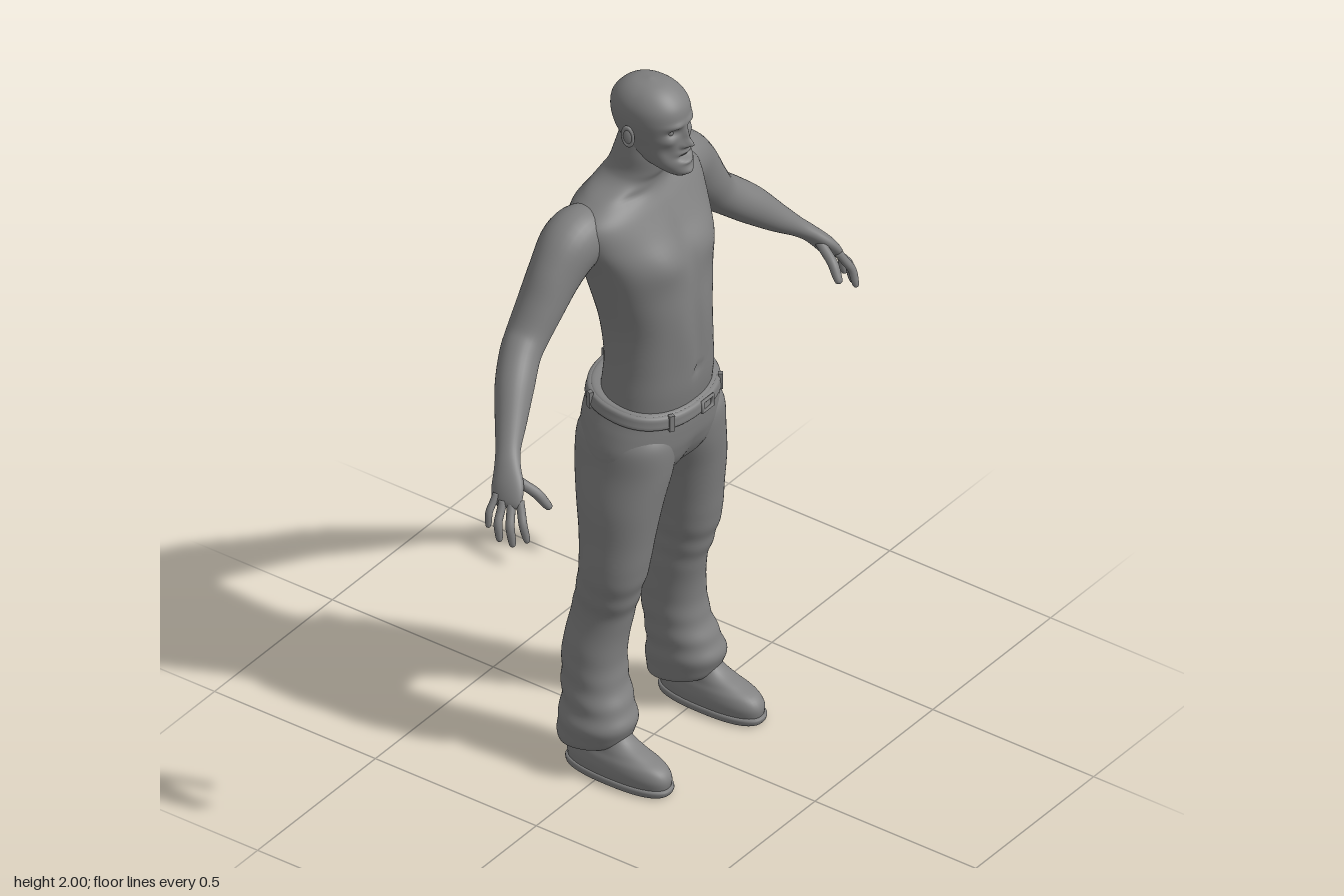
import * as THREE from 'three';

const grey = new THREE.MeshStandardMaterial({ color: 0x808080 });
grey.name = 'clay grey';

// Smooth interpolation of every column of a list of rows
function sample(rows, steps) {
  const out = [], n = rows.length - 1;
  for (let i = 0; i <= n * steps; i++) {
    const k = Math.min(Math.floor(i / steps), n - 1), t = i / steps - k;
    const [a, b, c, d] = [k - 1, k, k + 1, k + 2].map(q => rows[Math.max(0, Math.min(n, q))]);
    out.push(b.map((_, j) => 0.5 * (2 * b[j] + (c[j] - a[j]) * t +
      (2 * a[j] - 5 * b[j] + 4 * c[j] - d[j]) * t * t +
      (3 * b[j] - a[j] - 3 * c[j] + d[j]) * t * t * t)));
  }
  return out;
}

// Skin a list of closed rings, with both ends capped
function skin(rings) {
  const m = rings[0].length, n = rings.length, pos = [], index = [];
  rings.forEach(r => r.forEach(p => pos.push(p.x, p.y, p.z)));
  for (let i = 0; i < n - 1; i++) for (let j = 0; j < m; j++) {
    const a = i * m + j, b = i * m + (j + 1) % m;
    index.push(a, a + m, b, b, a + m, b + m);
  }
  [0, n - 1].forEach((i, end) => {
    const c = new THREE.Vector3();
    rings[i].forEach(p => c.addScaledVector(p, 1 / m));
    const ci = pos.length / 3;
    pos.push(c.x, c.y, c.z);
    for (let j = 0; j < m; j++) {
      const a = i * m + j, b = i * m + (j + 1) % m;
      if (end) index.push(ci, b, a); else index.push(ci, a, b);
    }
  });
  const g = new THREE.BufferGeometry();
  g.setAttribute('position', new THREE.Float32BufferAttribute(pos, 3));
  g.setIndex(index);
  g.computeVertexNormals();
  return g;
}

const spow = (v, e) => Math.sign(v) * Math.pow(Math.abs(v), e);

// Horizontal sections, rising: [y, centre x, half width, front z, back z]
function body(rows, { steps = 5, segs = 48, power = 2.2, rule } = {}) {
  return skin(sample(rows, steps).map(([y, cx, hw, zf, zb]) =>
    Array.from({ length: segs }, (_, j) => {
      const a = j / segs * Math.PI * 2, s = Math.sin(a);
      const p = new THREE.Vector3(cx + hw * spow(Math.cos(a), 2 / power), y,
        (zf + zb) / 2 + (zf - zb) / 2 * spow(s, 2 / power));
      if (rule) rule(p, s, a);
      return p;
    })));
}

// Round limb along a path: [x, y, z, radius in the frontal plane, radius across]
function limb(rows, steps = 5, segs = 24) {
  const pts = sample(rows, steps);
  const at = i => new THREE.Vector3().fromArray(pts[Math.max(0, Math.min(pts.length - 1, i))]);
  return skin(pts.map((r, i) => {
    const t = at(i + 1).sub(at(i - 1)).normalize();
    const u = new THREE.Vector3(-t.y, t.x, 0).normalize(), v = u.clone().cross(t);
    return Array.from({ length: segs }, (_, j) => {
      const a = j / segs * Math.PI * 2;
      return at(i).addScaledVector(u, Math.cos(a) * r[3]).addScaledVector(v, Math.sin(a) * r[4]);
    });
  }));
}

// Mirrored soft bumps: [x, y, spread x, spread y, height in z, side (1 front, -1 back)]
const bumps = list => (p, s) => {
  let dz = 0;
  for (const [x, y, sx, sy, h, side] of list)
    dz += h * side * Math.sqrt(Math.max(0, s * side)) *
      Math.exp(-(((Math.abs(p.x) - x) / sx) ** 2) - ((p.y - y) / sy) ** 2);
  p.z += dz;
};

function mirrored(g) {
  const m = g.clone().scale(-1, 1, 1), ix = m.index.array;
  for (let i = 0; i < ix.length; i += 3) [ix[i + 1], ix[i + 2]] = [ix[i + 2], ix[i + 1]];
  m.computeVertexNormals();
  return m;
}

export function createModel() {
  const model = new THREE.Group();
  model.name = 'man';
  const add = (name, g) => {
    const mesh = new THREE.Mesh(g, grey);
    mesh.name = name;
    model.add(mesh);
    return mesh;
  };
  const pair = (name, g) => { add(name + 'Left', g); add(name + 'Right', mirrored(g)); };

  // Bare torso and neck, with chest, belly, spine and shoulder blades
  add('torso', body([
    [1.03, 0, .165, .12, -.125], [1.12, 0, .158, .135, -.112], [1.2, 0, .15, .138, -.11],
    [1.3, 0, .15, .137, -.128], [1.4, 0, .17, .13, -.152], [1.5, 0, .197, .116, -.172],
    [1.58, 0, .225, .076, -.182], [1.64, 0, .225, .042, -.172], [1.68, 0, .165, .018, -.152],
    [1.71, 0, .1, .015, -.138], [1.74, 0, .076, .027, -.122], [1.79, 0, .069, .035, -.105],
    [1.84, 0, .06, .03, -.09],
  ], { steps: 6, segs: 80, rule: bumps([
    [.09, 1.52, .06, .055, .014, 1], [0, 1.53, .018, .08, -.008, 1], [0, 1.28, .014, .12, -.006, 1],
    [0, 1.17, .012, .01, -.008, 1], [.05, 1.3, .03, .1, .004, 1], [.1, 1.685, .05, .012, -.008, 1],
    [0, 1.45, .025, .22, -.022, -1], [.1, 1.57, .05, .08, .013, -1], [.05, 1.25, .03, .1, .007, -1],
  ]) }));

  // Head with the face pushed in and out
  add('head', body([
    [1.752, 0, .022, .1, .05], [1.765, 0, .038, .11, .02], [1.785, 0, .053, .11, -.03],
    [1.81, 0, .062, .104, -.07], [1.84, 0, .069, .098, -.096], [1.87, 0, .077, .096, -.11],
    [1.91, 0, .083, .097, -.117], [1.945, 0, .079, .09, -.112], [1.973, 0, .063, .066, -.09],
    [1.991, 0, .038, .034, -.059], [2, 0, .004, -.008, -.016],
  ], { steps: 8, segs: 112, rule: bumps([
    [0, 1.848, .012, .012, .024, 1], [0, 1.872, .009, .022, .014, 1], [.014, 1.843, .006, .007, .008, 1],
    [.033, 1.884, .017, .01, -.013, 1], [.028, 1.906, .024, .008, .007, 1], [.048, 1.86, .014, .013, .006, 1],
    [.045, 1.825, .013, .02, -.008, 1], [0, 1.809, .022, .007, -.018, 1], [0, 1.823, .022, .006, .006, 1],
    [0, 1.795, .02, .006, .006, 1], [0, 1.766, .018, .01, .007, 1],
  ]) }));
  pair('eye', new THREE.SphereGeometry(.011, 16, 12).translate(.032, 1.884, .071));
  add('teeth', new THREE.SphereGeometry(1, 20, 10).scale(.022, .005, .012).translate(0, 1.814, .088));

  // Ears: a curled rim around a flat bowl
  const rim = new THREE.TorusGeometry(.017, .005, 8, 24).scale(.8, 1.45, 1);
  const bowl = new THREE.SphereGeometry(1, 16, 10).scale(.014, .024, .006);
  for (const [name, g] of [['earRim', rim], ['earBowl', bowl]])
    pair(name, g.rotateY(Math.PI / 2 - .35).rotateX(-.15).translate(.087, 1.865, -.018));

  // Arms, from inside the shoulder to the palm
  pair('arm', limb([
    [.12, 1.6, -.085, .05, .05], [.17, 1.6, -.085, .076, .075], [.23, 1.585, -.092, .084, .078],
    [.29, 1.53, -.096, .076, .067], [.345, 1.462, -.1, .062, .062], [.395, 1.4, -.103, .054, .057],
    [.44, 1.362, -.095, .053, .053], [.5, 1.31, -.068, .05, .05], [.56, 1.252, -.035, .038, .041],
    [.61, 1.207, -.007, .026, .033], [.64, 1.178, .013, .022, .036], [.668, 1.143, .034, .021, .045],
    [.687, 1.112, .046, .017, .042], [.693, 1.1, .049, .008, .03],
  ], 5, 32));

  // Fingers and thumb: base, knuckle, tip
  [
    ['thumb', [.65, 1.165, .03], [.628, 1.125, .095], [.613, 1.083, .128], .0135],
    ['indexFinger', [.676, 1.122, .078], [.698, 1.07, .104], [.698, 1.022, .118], .011],
    ['middleFinger', [.688, 1.115, .06], [.719, 1.065, .079], [.722, 1.012, .09], .0115],
    ['ringFinger', [.696, 1.118, .04], [.728, 1.07, .048], [.732, 1.02, .056], .011],
    ['littleFinger', [.693, 1.13, .018], [.722, 1.088, .016], [.729, 1.046, .018], .0095],
  ].forEach(([name, a, b, c, r]) => {
    const mix = (p, q, t) => p.map((v, i) => v + (q[i] - v) * t);
    pair(name, limb([[...a, r, r], [...mix(a, b, .5), r, r], [...b, r, r], [...mix(b, c, .6), r * .9, r * .9],
      [...mix(b, c, .92), r * .65, r * .65], [...c, r * .15, r * .15]], 4, 14));
  });

  // Trousers: seat, dipping at the front of the waist
  const dip = p => { p.y -= .13 * (p.z + .05) * Math.min(1, Math.max(0, (p.y - .95) / .1)); };
  const seat = bumps([[.09, .96, .06, .06, .009, -1], [0, .94, .02, .08, -.018, -1], [0, .9, .03, .05, -.01, 1]]);
  add('trouserSeat', body([
    [.845, 0, .03, .03, -.05], [.87, 0, .1, .085, -.1], [.91, 0, .195, .115, -.14], [.96, 0, .207, .13, -.153],
    [1.02, 0, .196, .136, -.155], [1.07, 0, .18, .138, -.146], [1.1, 0, .173, .136, -.138], [1.102, 0, .15, .11, -.11],
  ], { segs: 64, power: 2.3, rule: (p, s) => { seat(p, s); dip(p); } }));

  // Belt, buckle and loops
  const beltY = z => 1.082 - .13 * (z + .05);
  add('belt', body([
    [1.064, 0, .165, .125, -.13], [1.066, 0, .186, .146, -.152], [1.082, 0, .184, .147, -.151],
    [1.098, 0, .179, .144, -.146], [1.1, 0, .16, .12, -.125],
  ], { steps: 3, segs: 64, power: 2.3, rule: dip }));
  add('buckle', new THREE.TorusGeometry(.019, .005, 8, 4, Math.PI * 2).rotateZ(Math.PI / 4)
    .scale(1.5, 1.1, 1).translate(.025, 1.056, .148));
  for (const a of [.9, 2.1, 3.6, 4.71, 5.8]) {
    const z = -.003 + .149 * spow(Math.sin(a), 2 / 2.3), x = .184 * spow(Math.cos(a), 2 / 2.3);
    const loop = add('beltLoop', new THREE.BoxGeometry(.014, .046, .012));
    loop.position.set(x, beltY(z), z);
    loop.rotation.y = Math.PI / 2 - a;
  }

  // Trouser legs, creased below the knee, cuff lower at the heel
  pair('trouserLeg', body([
    [.075, .187, .05, .02, -.12], [.08, .187, .074, .045, -.136], [.105, .188, .084, .06, -.143],
    [.15, .187, .088, .066, -.142], [.2, .18, .083, .048, -.136], [.27, .172, .08, .026, -.141],
    [.35, .166, .077, .021, -.143], [.45, .154, .07, .036, -.128], [.52, .156, .074, .056, -.112],
    [.6, .154, .084, .077, -.1], [.7, .145, .089, .091, -.106], [.8, .133, .097, .106, -.122],
    [.9, .11, .103, .12, -.143], [.98, .103, .098, .122, -.142], [1.02, .1, .08, .1, -.12],
  ], { steps: 8, segs: 56, rule: (p, s, a) => {
    const w = Math.exp(-(((p.y - .2) / .12) ** 2)) + .8 * Math.exp(-(((p.y - .52) / .07) ** 2));
    const f = 1 + .022 * w * Math.sin(p.y * 85 + 2 * Math.sin(a + 1) + a);
    p.x = .17 + (p.x - .17) * f;
    p.z = -.04 + (p.z + .04) * f;
    p.y += .25 * (p.z + .06) * Math.max(0, 1 - p.y / .3);
  } }));

  // Shoes: sole and rounded upper
  pair('sole', body([
    [0, .197, .05, .18, -.108], [.004, .197, .058, .192, -.118], [.02, .197, .06, .196, -.121], [.024, .197, .05, .18, -.11],
  ], { steps: 3, power: 2.5 }));
  pair('shoe', body([
    [.015, .197, .054, .188, -.114], [.045, .197, .058, .191, -.117], [.07, .197, .054, .172, -.113],
    [.09, .196, .047, .125, -.11], [.115, .194, .044, .07, -.105], [.16, .19, .045, .03, -.1],
  ], { power: 2.4 }));

  return model;
}
